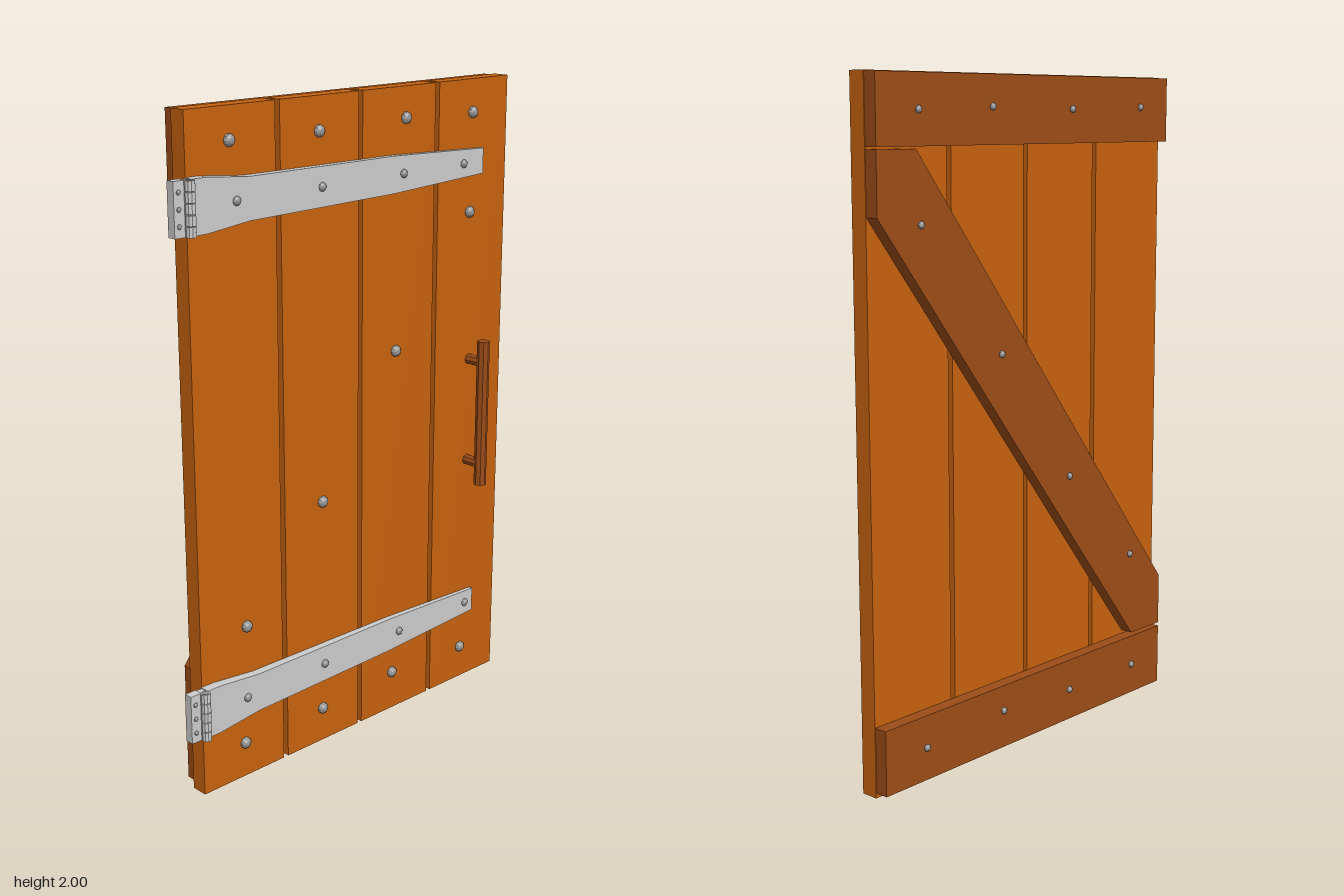
import * as THREE from 'three';

const mat = (color) => new THREE.MeshStandardMaterial({ color, flatShading: true });

export function createModel() {
  const door = new THREE.Group();
  door.name = 'plankDoor';
  const wood = mat(0xc6620e), darkWood = mat(0x9c4c17), iron = mat(0xcccccc), boltIron = mat(0x969696);

  const add = (name, geometry, material, parent = door) => {
    const mesh = new THREE.Mesh(geometry, material);
    mesh.name = name;
    parent.add(mesh);
    return mesh;
  };
  // Box given by its limits on each axis
  const box = (name, [x0, x1], [y0, y1], [z0, z1], material, parent) => {
    const mesh = add(name, new THREE.BoxGeometry(x1 - x0, y1 - y0, z1 - z0), material, parent);
    mesh.position.set((x0 + x1) / 2, (y0 + y1) / 2, (z0 + z1) / 2);
    return mesh;
  };
  // Outline of [z, y] points, thickened along x from x0 to x1
  const slab = (points, x0, x1) => {
    const shape = new THREE.Shape(points.map(([z, y]) => new THREE.Vector2(-z, y)));
    return new THREE.ExtrudeGeometry(shape, { depth: x1 - x0, bevelEnabled: false })
      .rotateY(Math.PI / 2).translate(x0, 0, 0);
  };

  const face = 0.007, planksBack = -0.046, battenBack = -0.087;

  // Four upright planks with narrow gaps
  [[-0.662, -0.358], [-0.341, -0.04], [-0.024, 0.274], [0.291, 0.603]].forEach((z) =>
    box('plank', [planksBack, face], [0, 2], z, wood));

  // Back battens and diagonal brace
  box('topBatten', [battenBack, planksBack], [1.803, 1.997], [-0.66, 0.59], darkWood);
  box('bottomBatten', [battenBack, planksBack], [0.015, 0.208], [-0.66, 0.59], darkWood);
  add('diagonalBrace', slab([
    [0.59, 0.22], [0.59, 0.383], [-0.515, 1.797], [-0.66, 1.797], [-0.66, 1.62], [0.445, 0.22],
  ], battenBack, planksBack), darkWood);

  // Domed bolt head pointing along +x (side 1) or -x (side -1)
  const headProfile = [[0, 0.016], [0.009, 0.0145], [0.016, 0.009], [0.018, 0.004], [0.018, -0.004]]
    .reverse().map(([r, h]) => new THREE.Vector2(r, h));
  const headGeometry = new THREE.LatheGeometry(headProfile, 10);
  const bolt = (x, y, z, side, size = 1) => {
    const head = add('boltHead', headGeometry, boltIron);
    head.position.set(x, y, z);
    head.rotation.z = -side * Math.PI / 2;
    head.scale.setScalar(size);
  };

  // Bolts through planks and battens, seen on both faces
  [
    [0.455, 1.908], [0.13, 1.902], [-0.215, 1.908], [-0.505, 1.9],
    [-0.5, 1.595], [-0.18, 1.21], [0.125, 0.8], [0.43, 0.49],
    [0.445, 0.112], [0.13, 0.112], [-0.175, 0.13], [-0.5, 0.112],
  ].forEach(([z, y]) => {
    bolt(face, y, z, 1);
    bolt(battenBack, y, z, -1, 0.6);
  });

  // Strap hinges: the strap grows thicker and wider toward the knuckles
  const strapOuter = (z) => 0.02 + 0.018 * (z + 0.545) / 1.15;
  const halfWidths = [[0.605, 0.075], [0.56, 0.075], [0.41, 0.06], [-0.15, 0.055], [-0.545, 0.039]];
  const hinge = (name, y, lastBoltZ) => {
    const group = new THREE.Group();
    group.name = name;
    group.position.y = y;
    door.add(group);

    const strap = slab([
      ...halfWidths.map(([z, h]) => [z, h]),
      ...halfWidths.map(([z, h]) => [z, -h]).reverse(),
    ].reverse(), face, 0.02);
    const p = strap.attributes.position;
    for (let i = 0; i < p.count; i++) {
      if (p.getX(i) > 0.015) p.setX(i, strapOuter(p.getZ(i)));
    }
    add('strap', strap, iron, group);

    // Frame leaf beside the door edge
    box('frameLeaf', [face, 0.034], [-0.075, 0.075], [0.626, 0.664], iron, group);
    box('leafWeb', [face, 0.03], [-0.072, 0.072], [0.603, 0.628], iron, group);
    // Knuckles around a pin
    for (let i = 0; i < 5; i++) {
      const knuckle = add('knuckle', new THREE.CylinderGeometry(0.015, 0.015, 0.028, 10), iron, group);
      knuckle.position.set(0.042, (i - 2) * 0.0303, 0.617);
    }
    const pin = add('pin', new THREE.CylinderGeometry(0.01, 0.01, 0.152, 8), boltIron, group);
    pin.position.set(0.042, 0, 0.617);
    // Screws in the frame leaf
    [-0.045, 0, 0.045].forEach((dy) => bolt(0.033, y + dy, 0.648, 1, 0.4));

    [0.455, 0.14, -0.19, lastBoltZ].forEach((z) => bolt(strapOuter(z) - 0.002, y, z, 1, 0.75));
  };
  hinge('upperHinge', 1.75, -0.455);
  hinge('lowerHinge', 0.277, -0.507);

  // Pull handle on two posts
  const handle = new THREE.Group();
  handle.name = 'pullHandle';
  handle.position.set(0, 0.95, -0.514);
  door.add(handle);
  const bar = add('handleBar', new THREE.CylinderGeometry(0.02, 0.02, 0.48, 8), darkWood, handle);
  bar.position.x = 0.069;
  [-0.17, 0.17].forEach((y) => {
    const post = add('handlePost', new THREE.CylinderGeometry(0.017, 0.017, 0.06, 8), darkWood, handle);
    post.rotation.z = Math.PI / 2;
    post.position.set(0.034, y, 0);
  });

  return door;
}
